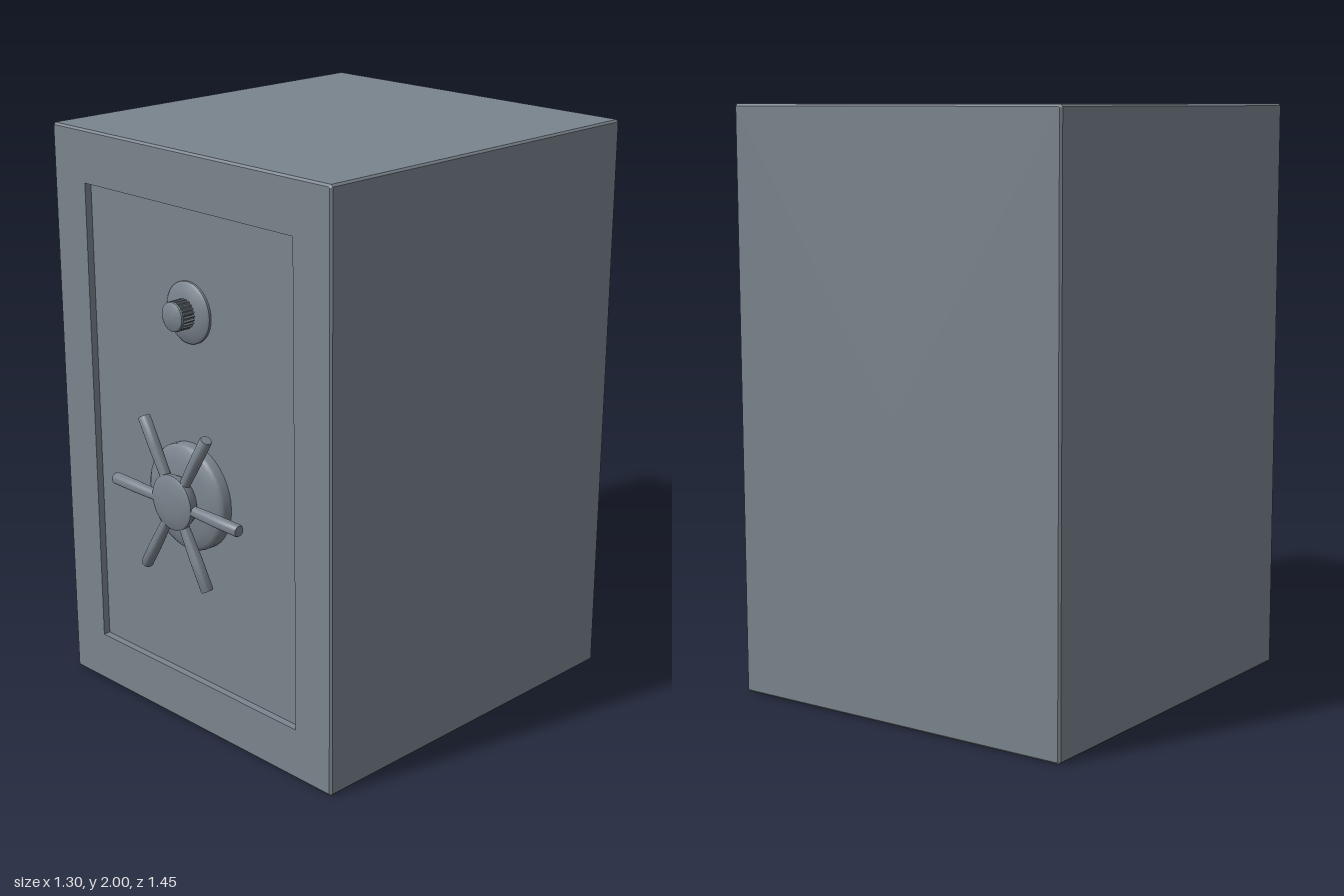
import * as THREE from 'three';
import { toCreasedNormals } from 'three/addons/utils/BufferGeometryUtils.js';

const steel = new THREE.MeshStandardMaterial({ color: 0x7a848d });
steel.name = 'steel grey';

function add(parent, name, geometry, x = 0, y = 0, z = 0) {
  const mesh = new THREE.Mesh(geometry, steel);
  mesh.name = name;
  mesh.position.set(x, y, z);
  parent.add(mesh);
  return mesh;
}

// Flat-sided loft through chamfered rectangles: [half width, half height, chamfer, z]
function loftRects(rects) {
  const rings = rects.map(([w, h, c, z]) => [
    [w, c - h], [w, h - c], [w - c, h], [c - w, h],
    [-w, h - c], [-w, c - h], [c - w, -h], [w - c, -h],
  ].map(([x, y]) => [x, y, z]));
  const pos = [];
  for (let r = 0; r < rings.length - 1; r++) {
    const a = rings[r], b = rings[r + 1];
    for (let i = 0; i < 8; i++) {
      const j = (i + 1) % 8;
      pos.push(...a[i], ...a[j], ...b[j], ...a[i], ...b[j], ...b[i]);
    }
  }
  const g = new THREE.BufferGeometry();
  g.setAttribute('position', new THREE.Float32BufferAttribute(pos, 3));
  g.computeVertexNormals();
  return g;
}

// Turned part whose axis points along +z; profile is [radius, z]
function turned(profile, segments = 40) {
  const g = new THREE.LatheGeometry(profile.map(p => new THREE.Vector2(...p)), segments);
  g.rotateX(Math.PI / 2);
  return toCreasedNormals(g, 0.6);
}

export function createModel() {
  const safe = new THREE.Group();
  safe.name = 'safe';

  // Cabinet with softened edges and a door recess in the front
  const W = 0.65, H = 1, B = 0.007, back = -0.723, front = 0.637, doorZ = 0.612;
  add(safe, 'cabinet', loftRects([
    [0, 0, 0, back], [W - B, H - B, B / 2, back], [W, H, B, back + B],
    [W, H, B, front - B], [W - B, H - B, B / 2, front],
    [0.49, 0.82, 0, front], [0.49, 0.82, 0, doorZ],
  ]), 0, 1);
  add(safe, 'door', new THREE.BoxGeometry(0.98, 1.64, 0.02), 0, 1, doorZ - 0.01);

  // Combination dial: shallow plate and ribbed knob
  const dial = new THREE.Group();
  dial.name = 'combinationDial';
  dial.position.set(-0.01, 1.475, 0);
  safe.add(dial);
  add(dial, 'dialPlate', turned([
    [0.103, doorZ - 0.005], [0.103, 0.62], [0.095, 0.627], [0.05, 0.634], [0, 0.634],
  ]));
  const ribs = new THREE.Shape();
  for (let i = 0; i < 96; i++) {
    const r = i % 4 < 2 ? 0.05 : 0.045, a = i / 96 * Math.PI * 2;
    ribs.lineTo(r * Math.cos(a), r * Math.sin(a));
  }
  const knob = new THREE.ExtrudeGeometry(ribs, { depth: 0.055, bevelEnabled: false });
  add(dial, 'dialKnob', knob, 0, 0, 0.627);
  add(dial, 'dialKnobCap', turned([[0.05, 0.681], [0.048, 0.687], [0.04, 0.692], [0, 0.693]]));

  // Spoked handle: rounded base, hub and six bars
  const handle = new THREE.Group();
  handle.name = 'handle';
  handle.position.set(-0.011, 0.848, 0);
  safe.add(handle);
  add(handle, 'handleBase', turned([
    [0.183, doorZ - 0.005], [0.183, 0.64], [0.179, 0.648], [0.168, 0.656],
    [0.13, 0.665], [0.07, 0.672], [0, 0.673],
  ]));
  add(handle, 'handleHub', turned([
    [0.07, 0.66], [0.085, 0.675], [0.095, 0.695], [0.095, 0.71],
    [0.085, 0.715], [0.05, 0.721], [0, 0.723],
  ]));
  for (let i = 0; i < 6; i++) {
    const spoke = new THREE.Group();
    spoke.name = 'spoke' + (i + 1);
    spoke.position.set(0, -0.008, 0.692);
    spoke.rotation.z = (i * 60 - 1) * Math.PI / 180;
    handle.add(spoke);
    const bar = turned([
      [0.016, 0.04], [0.019, 0.12], [0.021, 0.2], [0.021, 0.3], [0.018, 0.306], [0, 0.306],
    ], 16);
    bar.rotateY(Math.PI / 2);
    add(spoke, 'spokeBar', bar);
  }
  return safe;
}
